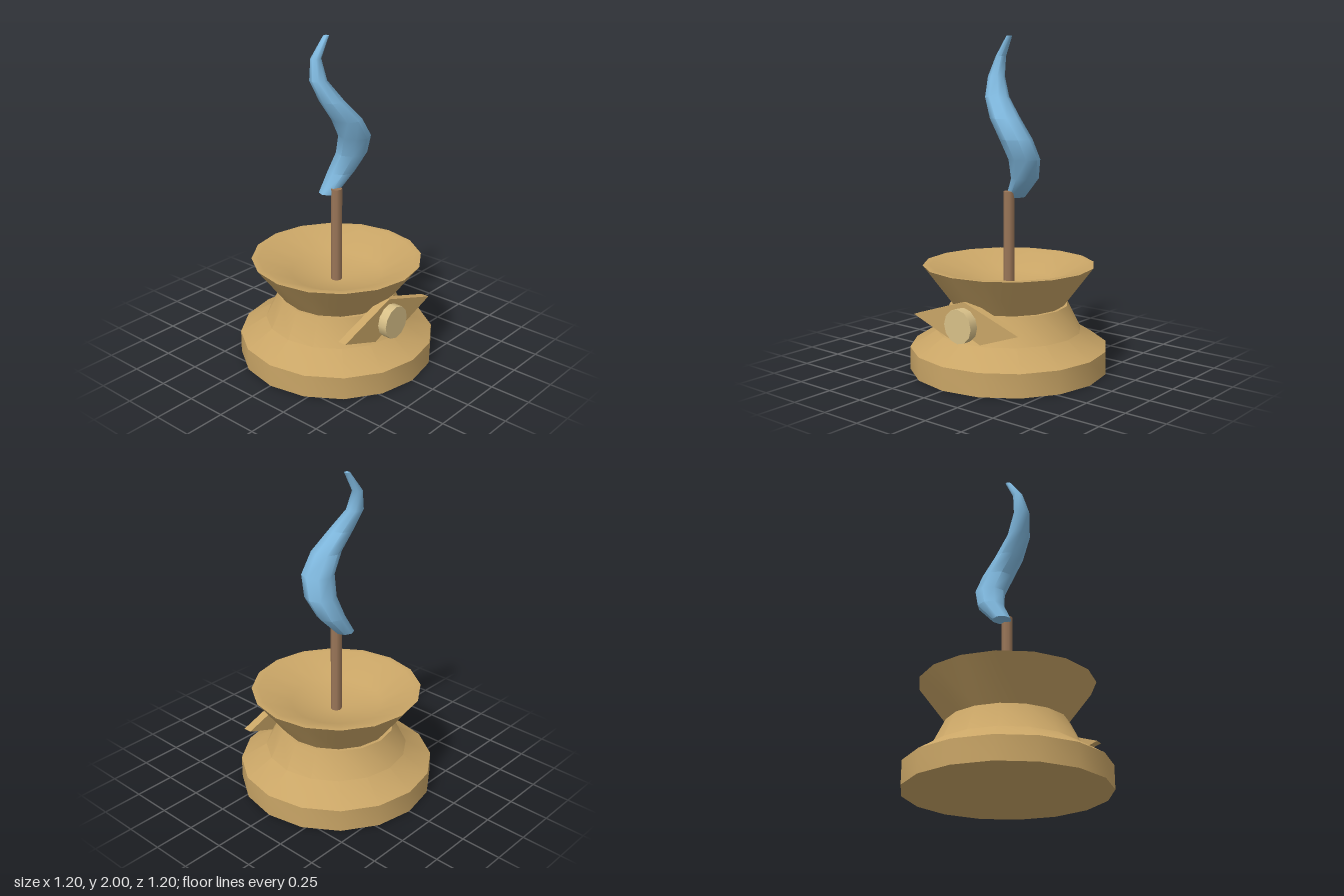
import * as THREE from 'three';
import { mergeVertices, toCreasedNormals } from 'three/addons/utils/BufferGeometryUtils.js';

const material = (name, color) => new THREE.MeshStandardMaterial({ name, color });

export function createModel() {
  const clay = material('clay', 0xc9a566);
  const pale = material('pale clay', 0xd8c088);
  const wood = material('wood', 0x9a7658);
  const blue = material('smoke blue', 0x7fb8de);

  const group = new THREE.Group();
  group.name = 'incenseBurner';
  const add = (name, geometry, mat) => {
    const mesh = new THREE.Mesh(geometry, mat);
    mesh.name = name;
    group.add(mesh);
    return mesh;
  };
  const lathe = (points) => toCreasedNormals(
    new THREE.LatheGeometry(points.map(([r, y]) => new THREE.Vector2(r, y)), 16), 0.6);

  // Foot with sloping shoulder
  add('base', lathe([[0, 0], [0.6, 0], [0.6, 0.14], [0.44, 0.24], [0.36, 0.4], [0.34, 0.4]]), clay);

  // Flared dish with a narrow rim and a shallow hollow
  add('bowl', lathe([[0.34, 0.4], [0.52, 0.64], [0.48, 0.64], [0.28, 0.54], [0, 0.48]]), clay);

  // Pointed plate on the front
  const outline = new THREE.Shape(
    [[0, 0.48], [-0.4, 0.345], [-0.12, 0.245], [0.12, 0.245], [0.4, 0.345]]
      .map(([x, y]) => new THREE.Vector2(x, y)));
  const plate = new THREE.ExtrudeGeometry(outline, { depth: 0.053, bevelEnabled: false });
  add('frontPlate', plate, clay).position.z = 0.36;

  // Round medallion on the plate
  const disc = new THREE.CylinderGeometry(0.102, 0.102, 0.06, 12);
  disc.rotateX(Math.PI / 2);
  add('medallion', disc, pale).position.set(0, 0.345, 0.44);

  // Incense stick
  add('stick', new THREE.CylinderGeometry(0.034, 0.034, 0.62, 8), wood).position.y = 0.77;

  // Smoke: level rings [x, z, radius] from bottom to top
  const rings = [
    [0, -0.065, 0.058], [0.09, -0.04, 0.083], [0.125, 0.01, 0.094],
    [0.098, 0.055, 0.097], [0.02, 0.06, 0.09], [-0.07, 0.024, 0.072],
    [-0.122, -0.032, 0.051], [-0.11, -0.06, 0.031], [-0.035, -0.048, 0.017],
  ];
  let smoke = new THREE.CylinderGeometry(1, 1, 8, 8, 8);
  const p = smoke.attributes.position;
  for (let i = 0; i < p.count; i++) {
    const level = Math.round(p.getY(i) + 4);
    const [x, z, r] = rings[level];
    p.setXYZ(i, x + p.getX(i) * r, 1.04 + level * 0.12, z + p.getZ(i) * r);
  }
  smoke.deleteAttribute('uv');
  smoke.deleteAttribute('normal');
  smoke = toCreasedNormals(mergeVertices(smoke), 1.0);
  add('smoke', smoke, blue);

  return group;
}
